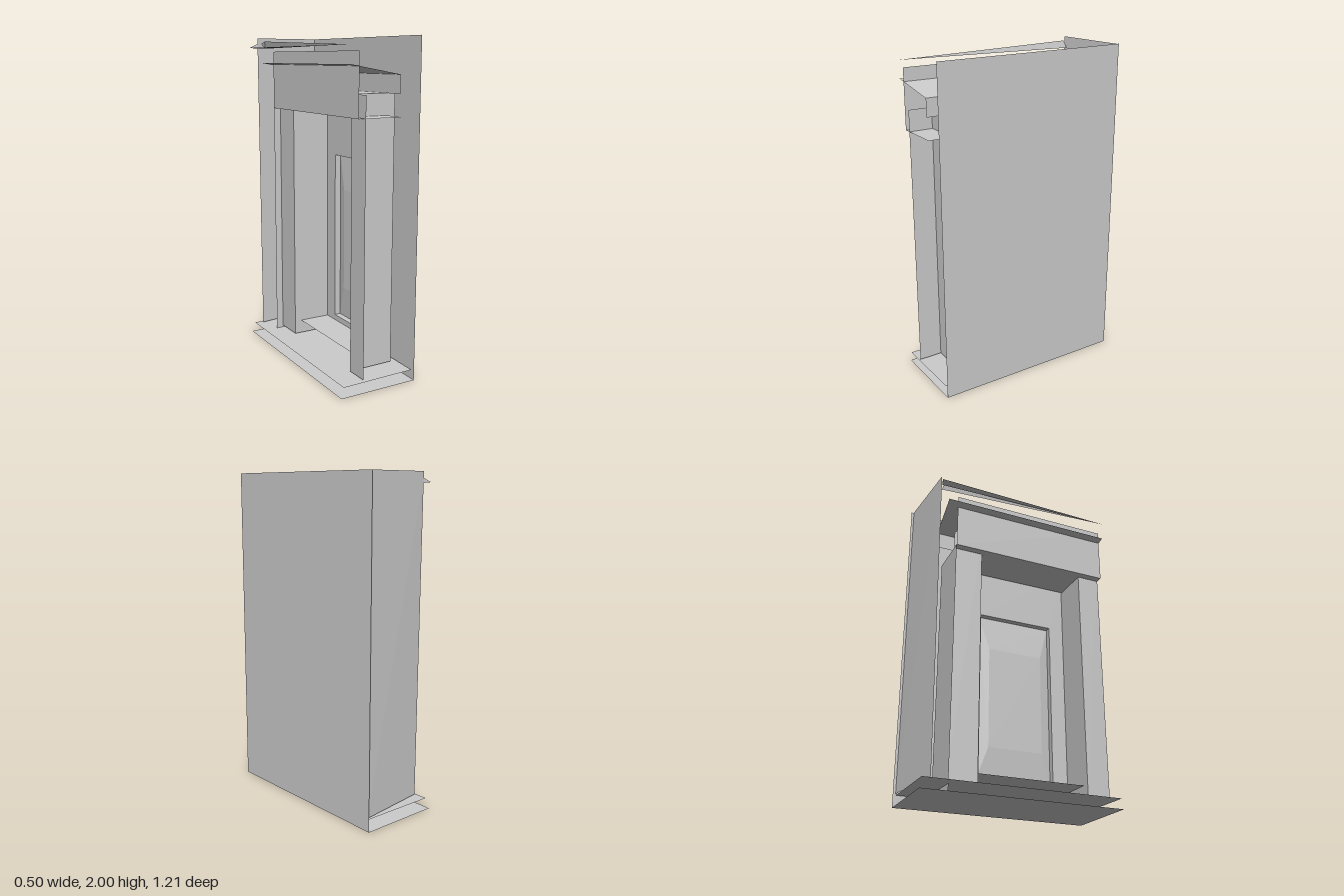
import * as THREE from 'three';

const mat = new THREE.MeshStandardMaterial({ color: 0xcccccc, side: THREE.DoubleSide, flatShading: true });

export function createModel() {
  const g = new THREE.Group();

  const add = (name, geo) => {
    const m = new THREE.Mesh(geo, mat);
    m.name = name;
    g.add(m);
    return m;
  };
  // Fan of triangles through a few corner points
  const sheet = (name, ...p) => {
    const v = [];
    for (let i = 1; i < p.length - 1; i++) v.push(...p[0], ...p[i], ...p[i + 1]);
    const geo = new THREE.BufferGeometry();
    geo.setAttribute('position', new THREE.Float32BufferAttribute(v, 3));
    geo.computeVertexNormals();
    return add(name, geo);
  };
  // Axis-aligned sheets: constant x, y or z
  const atX = (name, x, y0, y1, z0, z1) =>
    sheet(name, [x, y0, z0], [x, y0, z1], [x, y1, z1], [x, y1, z0]);
  const atY = (name, y, x0, x1, z0, z1) =>
    sheet(name, [x0, y, z0], [x0, y, z1], [x1, y, z1], [x1, y, z0]);
  const atZ = (name, z, x0, x1, y0, y1) =>
    sheet(name, [x0, y0, z], [x1, y0, z], [x1, y1, z], [x0, y1, z]);

  // Outer shell: main wall, base and slightly twisted end wall
  const E = 0.605;
  atX('mainWall', 0.25, 0, 2, -E, E);
  atY('base', 0, -0.25, 0.25, -E, E);
  sheet('endWall', [0.245, 0.08, -0.59], [-0.2, 0.08, -0.53], [-0.2, 2, -0.545], [0.245, 2, -0.59]);

  // Sill and step
  sheet('sill', [-0.235, 0.065, -0.59], [-0.235, 0.065, E], [0.23, 0.07, E], [0.24, 0.07, -0.59]);
  atY('doorStep', 0.165, -0.06, 0.14, -0.23, 0.46);

  // Posts and niche linings
  const top = 1.685, z0 = -0.23, z1 = 0.46;
  atX('rearPost', -0.105, 0.08, top, -0.415, z0);
  atX('frontPost', -0.105, 0.08, top, z1, E);
  for (const z of [z0, z1]) atZ('jamb', z, -0.105, 0.14, 0.08, top);
  atY('nicheCeiling', top, -0.105, 0.14, z0, z1);

  // Header, soffit and hidden side lining
  atX('header', -0.15, 1.56, 1.915, -0.415, E);
  atY('soffit', 1.56, -0.15, 0.13, -0.415, E);
  atZ('sideLining', -0.415, -0.15, 0.13, 0.02, 1.56);

  // Sloped roof and its back edge
  sheet('canopyRoof', [-0.2, 1.845, -0.49], [-0.2, 1.845, E], [0.115, 1.79, E], [0.115, 1.79, -0.46]);
  atX('canopyBack', 0.115, top, 1.79, -0.46, E);

  // Door leaf with a sunken panel; drawn in (z, y) and turned to face -x
  const rect = (C, a, b, c, d) => {
    const s = new C();
    s.moveTo(a, c); s.lineTo(b, c); s.lineTo(b, d); s.lineTo(a, d); s.closePath();
    return s;
  };
  const leaf = rect(THREE.Shape, z0, z1, 0.08, top);
  leaf.holes.push(rect(THREE.Path, -0.13, 0.36, 0.2, 1.27));
  const door = add('doorLeaf', new THREE.ExtrudeGeometry(leaf, { depth: 0.04, bevelEnabled: false }));
  door.rotation.y = -Math.PI / 2;
  door.position.x = 0.18;

  // Raised panel: flat field with four sloping borders
  const ring = (x, a, b, c, d) => [[x, c, a], [x, c, b], [x, d, b], [x, d, a]];
  const outer = ring(0.18, -0.13, 0.36, 0.2, 1.27);
  const inner = ring(0.165, -0.06, 0.3, 0.4, 1.05);
  sheet('panelField', ...inner);
  for (let i = 0; i < 4; i++) {
    const j = (i + 1) % 4;
    sheet('panelBorder', outer[i], outer[j], inner[j], inner[i]);
  }

  // Cornice slivers running to one point
  const tip = [-0.22, 1.946, E];
  const a = [-0.25, 1.94, -0.555], b = [-0.2, 1.965, -0.54], c = [-0.2, 1.935, -0.54];
  const d = [-0.165, 1.98, -0.51], e = [-0.155, 1.935, -0.53], f = [-0.185, 1.965, -0.52];
  sheet('corniceOuter', tip, a, c);
  sheet('corniceEnd', a, b, c);
  sheet('corniceInner', tip, d, e);
  sheet('corniceCap', f, d, e);

  return g;
}
